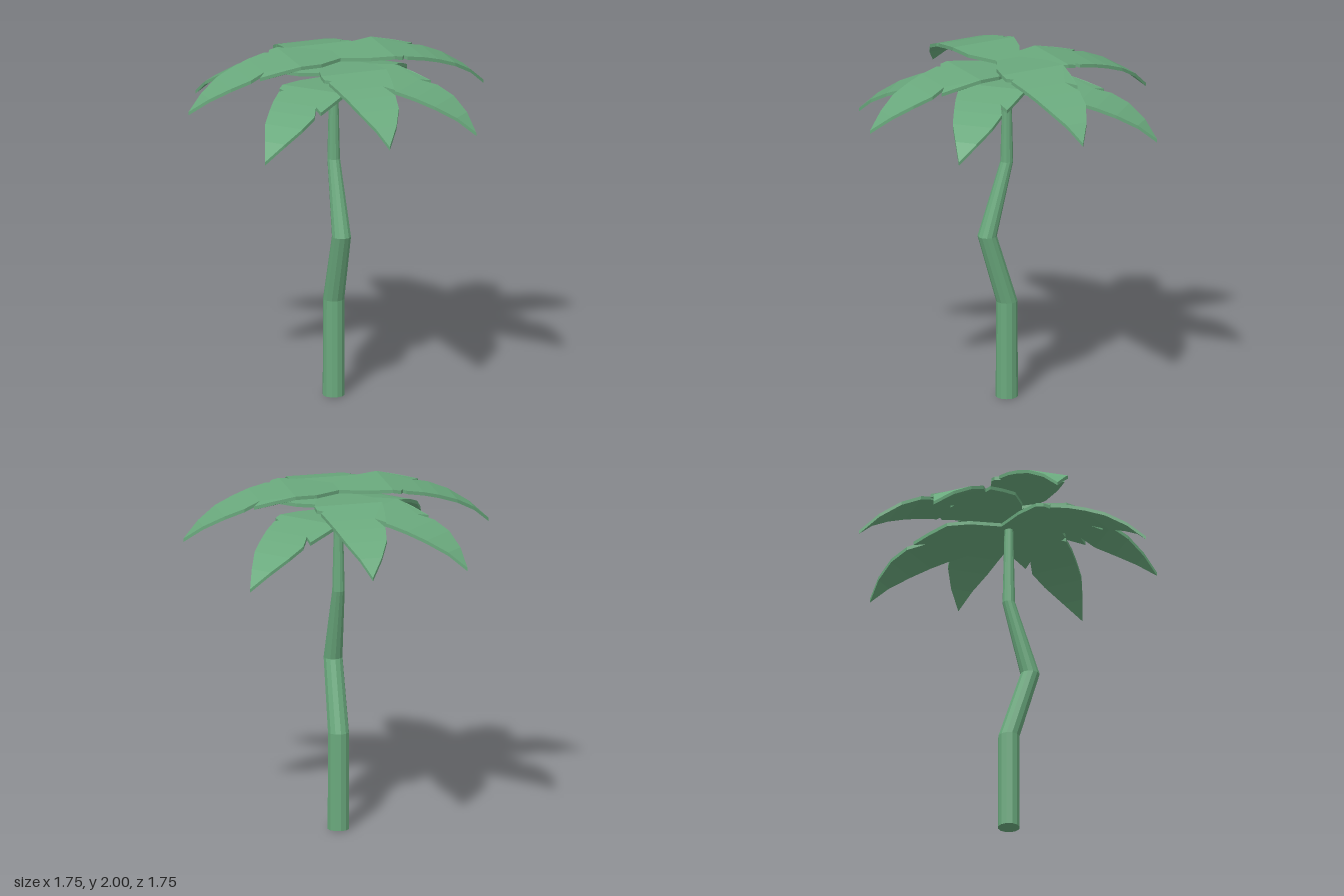
import * as THREE from 'three';

const green = new THREE.MeshStandardMaterial({ color: 0x6aa97d, flatShading: true });

// Leaf outline seen from above: [distance from crown, sideways], with two torn notches
const OUTLINE = [
  [0, -0.075], [0.15, -0.17], [0.28, -0.195], [0.4, -0.18], [0.51, -0.16],
  [0.465, -0.107], [0.56, -0.145], [0.67, -0.125], [0.78, -0.07], [0.875, 0.005],
  [0.78, 0.055], [0.67, 0.107], [0.56, 0.135], [0.465, 0.157], [0.36, 0.175],
  [0.345, 0.155], [0.325, 0.19], [0.28, 0.192], [0.15, 0.155], [0, 0.075],
];
// Cross strips between the bends, as outline indices
const STRIPS = [
  [0, 1, 18, 19], [1, 2, 17, 18], [2, 3, 4, 5, 13, 14, 15, 16, 17],
  [5, 6, 12, 13], [6, 7, 11, 12], [7, 8, 10, 11], [8, 9, 10],
];
// Arch of the leaf: [distance, height of upper face]
const ARCH = [[0, 1.985], [0.28, 2], [0.465, 1.963], [0.56, 1.935], [0.67, 1.893], [0.78, 1.828], [0.875, 1.742]];
const THICKNESS = 0.02;

function archHeight(u) {
  const i = Math.max(1, ARCH.findIndex((p) => p[0] >= u));
  const [u0, h0] = ARCH[i - 1];
  const [u1, h1] = ARCH[i];
  return h0 + ((h1 - h0) * (u - u0)) / (u1 - u0);
}

function leafGeometry() {
  const n = OUTLINE.length;
  const positions = [];
  for (const drop of [0, THICKNESS]) {
    for (const [u, v] of OUTLINE) positions.push(u, archHeight(u) - drop, v);
  }
  const index = [];
  // Upper and lower faces
  for (const strip of STRIPS) {
    const points = strip.map((k) => new THREE.Vector2(...OUTLINE[k]));
    for (const tri of THREE.ShapeUtils.triangulateShape(points, [])) {
      const turn = THREE.ShapeUtils.area(tri.map((k) => points[k]));
      let [a, b, c] = tri.map((k) => strip[k]);
      if (turn > 0) [b, c] = [c, b];
      index.push(a, b, c, a + n, c + n, b + n);
    }
  }
  // Rim
  for (let a = 0; a < n; a++) {
    const b = (a + 1) % n;
    index.push(a, b, b + n, a, b + n, a + n);
  }
  const geometry = new THREE.BufferGeometry();
  geometry.setAttribute('position', new THREE.Float32BufferAttribute(positions, 3));
  geometry.setIndex(index);
  geometry.computeVertexNormals();
  return geometry;
}

function trunkGeometry() {
  // Rings from the ground up: height, z offset, radius
  const rings = [[0, 0, 0.062], [0.56, 0, 0.06], [0.96, 0.125, 0.054], [1.38, 0, 0.036], [1.87, 0, 0.024]];
  const geometry = new THREE.CylinderGeometry(1, 1, 1, 12, rings.length - 1);
  const p = geometry.attributes.position;
  for (let i = 0; i < p.count; i++) {
    const [y, z, r] = rings[Math.round((p.getY(i) + 0.5) * (rings.length - 1))];
    p.setXYZ(i, p.getX(i) * r - 0.014, y, p.getZ(i) * r + z);
  }
  geometry.computeVertexNormals();
  return geometry;
}

export function createModel() {
  const model = new THREE.Group();
  model.name = 'palmTree';

  const trunk = new THREE.Mesh(trunkGeometry(), green);
  trunk.name = 'trunk';
  model.add(trunk);

  // Four opposite pairs of leaves, each pair a little lower than the last
  const leaf = leafGeometry();
  const pairs = [[0, 0], [90, 0.04], [46.8, 0.09], [136.8, 0.14]];
  const crown = new THREE.Group();
  crown.name = 'crown';
  for (const [angle, drop] of pairs) {
    for (const half of [0, 180]) {
      const mesh = new THREE.Mesh(leaf, green);
      mesh.name = 'leaf';
      mesh.rotation.y = -THREE.MathUtils.degToRad(angle + half);
      mesh.position.y = -drop;
      crown.add(mesh);
    }
  }
  model.add(crown);
  return model;
}
